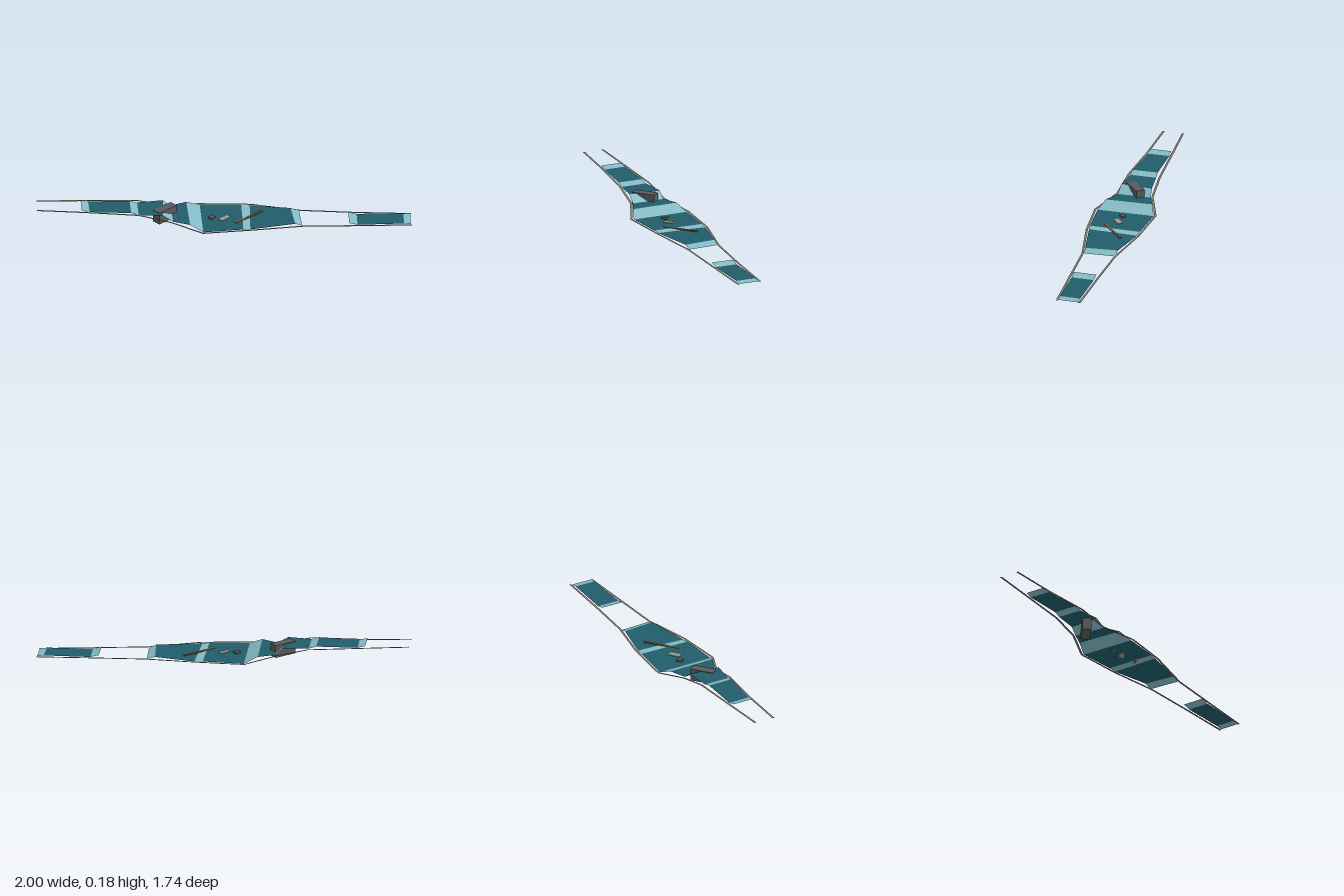
import * as THREE from 'three';

const mat = (name, color, side = THREE.FrontSide) => {
  const m = new THREE.MeshStandardMaterial({ color, side, flatShading: true });
  m.name = name;
  return m;
};

// strip of quads between two 3D rails
function ribbon(left, right) {
  const pos = [], idx = [];
  left.forEach((l, i) => pos.push(...l, ...right[i]));
  for (let i = 0; i < left.length - 1; i++) {
    const a = i * 2;
    idx.push(a, a + 1, a + 2, a + 1, a + 3, a + 2);
  }
  const g = new THREE.BufferGeometry();
  g.setAttribute('position', new THREE.Float32BufferAttribute(pos, 3));
  g.setIndex(idx);
  g.computeVertexNormals();
  return g;
}

// flat ribbon of constant width along a centre line
function pathRibbon(pts, w) {
  const left = [], right = [];
  pts.forEach((p, i) => {
    const a = pts[Math.max(i - 1, 0)], b = pts[Math.min(i + 1, pts.length - 1)];
    const dx = b[0] - a[0], dz = b[2] - a[2], k = w / 2 / Math.hypot(dx, dz);
    left.push([p[0] + dz * k, p[1], p[2] - dx * k]);
    right.push([p[0] - dz * k, p[1], p[2] + dx * k]);
  });
  return ribbon(left, right);
}

export function createModel() {
  const model = new THREE.Group();
  model.name = 'steppedRiver';
  const deep = mat('deepWater', 0x225c6a, THREE.DoubleSide);
  const foam = mat('rapidWater', 0x84bbc5, THREE.DoubleSide);
  const bank = mat('bankStone', 0x7f796d, THREE.DoubleSide);
  const rock = mat('darkRock', 0x5a5a5e);
  const pale = mat('paleStone', 0x9c978a);
  const wood = mat('wood', 0x7c5638);
  const add = (name, geo, m) => {
    const mesh = new THREE.Mesh(geo, m);
    mesh.name = name;
    model.add(mesh);
    return mesh;
  };

  // water sections: height, left bank x z, right bank x z, name of the stretch that follows
  const sections = [
    [0.175, -0.68, -0.68, -0.775, -0.57, 'rapid'],
    [0.162, -0.64, -0.65, -0.735, -0.535, 'pool'],
    [0.158, -0.43, -0.47, -0.54, -0.34, 'rapid'],
    [0.142, -0.39, -0.44, -0.505, -0.305, 'pool'],
    [0.142, -0.245, -0.345, -0.395, -0.19, 'rapid'],
    [0.097, -0.2, -0.315, -0.345, -0.14, 'pool'],
    [0.097, -0.09, -0.28, -0.295, -0.03, 'rapid'],
    [0.055, 0.0, -0.245, -0.25, 0.05, 'pool'],
    [0.055, 0.2, -0.055, -0.03, 0.205, 'rapid'],
    [0.05, 0.24, -0.015, 0.01, 0.23, 'pool'],
    [0.05, 0.41, 0.2, 0.28, 0.38, 'rapid'],
    [0.03, 0.45, 0.24, 0.32, 0.405, null],
    [0.03, 0.675, 0.478, 0.57, 0.595, 'rapid'],
    [0.014, 0.715, 0.515, 0.615, 0.63, 'pool'],
    [0.01, 0.95, 0.72, 0.855, 0.825, 'rapid'],
    [0.002, 0.985, 0.75, 0.89, 0.855, null],
  ];
  const L = (s) => [s[1], s[0], s[2]], R = (s) => [s[3], s[0], s[4]];
  for (let i = 0; i < sections.length - 1; i++) {
    const a = sections[i], b = sections[i + 1];
    if (a[5]) add(a[5] + (i + 1), ribbon([L(a), L(b)], [R(a), R(b)]), a[5] === 'pool' ? deep : foam);
  }

  // banks
  add('leftBank', pathRibbon([
    [-0.905, 0.18, -0.87], [-0.64, 0.162, -0.665], [-0.37, 0.143, -0.455], [-0.205, 0.095, -0.33],
    [0.005, 0.056, -0.257], [0.25, 0.051, -0.022], [0.46, 0.031, 0.246], [0.72, 0.015, 0.495], [0.995, 0.001, 0.747],
  ], 0.015), bank);
  add('rightBank', pathRibbon([
    [-0.995, 0.18, -0.77], [-0.75, 0.162, -0.54], [-0.51, 0.146, -0.295], [-0.36, 0.095, -0.145],
    [-0.262, 0.056, 0.06], [0.01, 0.051, 0.246], [0.32, 0.031, 0.417], [0.605, 0.015, 0.64], [0.89, 0, 0.862],
  ], 0.015), bank);

  // rocks, stepping stone and log, as min and max corners
  const box = (name, x0, x1, y0, y1, z0, z1, m) =>
    add(name, new THREE.BoxGeometry(x1 - x0, y1 - y0, z1 - z0), m)
      .position.set((x0 + x1) / 2, (y0 + y1) / 2, (z0 + z1) / 2);
  box('boulder', -0.39, -0.23, 0.06, 0.146, -0.285, -0.225, rock);
  box('smallRock', -0.092, -0.053, 0.054, 0.068, -0.07, -0.038, rock);
  box('steppingStone', -0.053, 0.024, 0.053, 0.059, -0.01, 0.024, pale);
  box('floatingLog', -0.005, 0.24, 0.052, 0.058, 0.096, 0.111, wood);
  return model;
}
